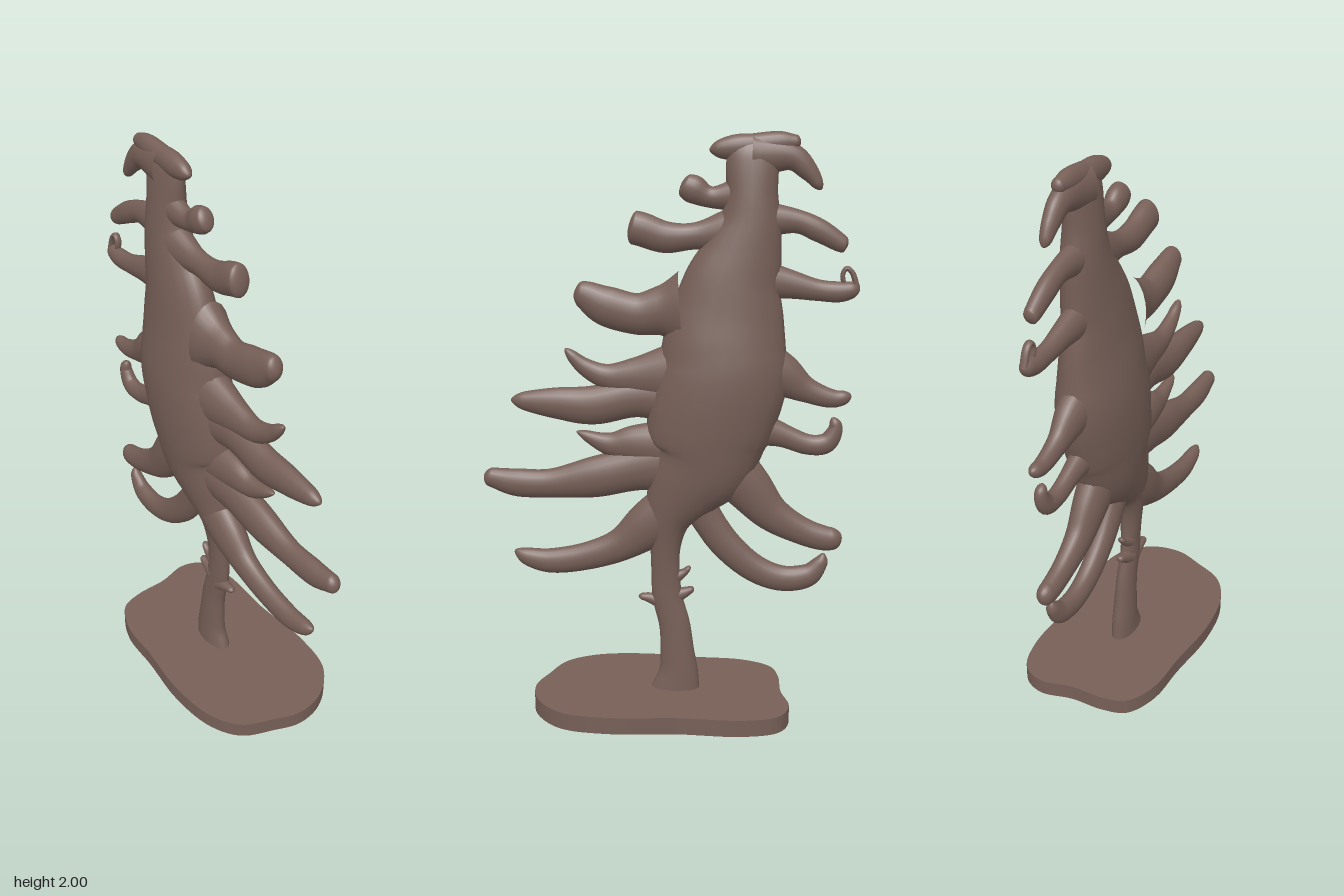
import * as THREE from 'three';

const bark = new THREE.MeshStandardMaterial({ color: 0x765f57 });
bark.name = 'brown bark';

// Sweeps an ellipse along stations [x, y, halfWidth, halfDepth] in the xy plane.
function sweep(name, stations, steps, tip, zShift = 0) {
  const sides = 20;
  const path = new THREE.CatmullRomCurve3(
    stations.map(([x, y]) => new THREE.Vector3(x, y, 0)), false, 'catmullrom', 0.5);
  const size = new THREE.CatmullRomCurve3(
    stations.map(([, , w, d = 0.55 * w + 0.008]) => new THREE.Vector3(w, d, 0)), false, 'catmullrom', 0.5);
  const pos = [], index = [];
  for (let i = 0; i <= steps; i++) {
    // stations crowd together toward the rounded tip
    const s = i / steps;
    const t = 1 - Math.pow(1 - s, 1.5);
    const p = path.getPoint(t), r = size.getPoint(t), g = path.getTangent(t);
    const k = Math.sqrt(Math.max(0, 1 - Math.pow(Math.max(0, (t - 1 + tip) / tip), 2)));
    const w = Math.max(r.x, 0.004) * k, d = Math.max(r.y, 0.004) * k;
    for (let j = 0; j < sides; j++) {
      const a = (j / sides) * Math.PI * 2;
      pos.push(p.x + g.y * w * Math.cos(a), p.y - g.x * w * Math.cos(a), d * Math.sin(a) + zShift);
      if (i < steps) {
        const n = (j + 1) % sides, q = i * sides;
        index.push(q + j, q + sides + j, q + n, q + n, q + sides + j, q + sides + n);
      }
    }
  }
  // the winding is reversed so that faces point outwards
  for (let i = 0; i < index.length; i += 3) [index[i + 1], index[i + 2]] = [index[i + 2], index[i + 1]];
  const geo = new THREE.BufferGeometry();
  geo.setAttribute('position', new THREE.Float32BufferAttribute(pos, 3));
  geo.setIndex(orient(index, pos, sides));
  geo.computeVertexNormals();
  const mesh = new THREE.Mesh(geo, bark);
  mesh.name = name;
  return mesh;
}

// Flips the triangles if the enclosed volume comes out negative.
function orient(index, pos) {
  const a = new THREE.Vector3(), b = new THREE.Vector3(), c = new THREE.Vector3();
  const o = new THREE.Vector3().fromArray(pos);
  let volume = 0;
  for (let i = 0; i < index.length; i += 3) {
    a.fromArray(pos, index[i] * 3).sub(o);
    b.fromArray(pos, index[i + 1] * 3).sub(o);
    c.fromArray(pos, index[i + 2] * 3).sub(o);
    volume += a.dot(b.cross(c));
  }
  return volume < 0 ? index.reverse() : index;
}

// Trunk and swollen crown, from the foot up
const trunk = [
  [-0.035, 0.05, 0.088, 0.042], [-0.045, 0.12, 0.07, 0.039], [-0.04, 0.2, 0.06, 0.036],
  [-0.03, 0.3, 0.055, 0.032], [-0.005, 0.4, 0.053, 0.03], [0.002, 0.5, 0.05, 0.032],
  [0.002, 0.6, 0.055, 0.042], [-0.01, 0.7, 0.085, 0.06], [-0.06, 0.8, 0.135, 0.082],
  [-0.12, 0.9, 0.18, 0.1], [-0.14, 1.0, 0.21, 0.112], [-0.165, 1.1, 0.22, 0.118],
  [-0.19, 1.2, 0.22, 0.117], [-0.195, 1.3, 0.208, 0.107], [-0.205, 1.4, 0.19, 0.093],
  [-0.22, 1.5, 0.165, 0.083], [-0.25, 1.6, 0.135, 0.073], [-0.275, 1.7, 0.105, 0.064],
  [-0.28, 1.8, 0.085, 0.055], [-0.28, 1.9, 0.085, 0.042], [-0.285, 1.985, 0.07, 0.025],
];

const leftBranches = [
  [[-0.05, 1.42, 0.13], [0.02, 1.415, 0.085], [0.1, 1.405, 0.07], [0.2, 1.43, 0.068], [0.27, 1.465, 0.05], [0.31, 1.475, 0.035]],
  [[-0.25, 1.8, 0.06], [-0.15, 1.79, 0.035], [-0.09, 1.815, 0.046], [-0.05, 1.835, 0.035]],
  [[-0.22, 1.68, 0.08], [-0.1, 1.665, 0.045], [0, 1.66, 0.052], [0.08, 1.685, 0.056], [0.125, 1.695, 0.055]],
  [[-0.05, 1.2, 0.12], [0.1, 1.19, 0.07], [0.2, 1.19, 0.045], [0.28, 1.225, 0.03], [0.345, 1.285, 0.014]],
  [[-0.05, 1.12, 0.1], [0.1, 1.12, 0.07], [0.25, 1.09, 0.068], [0.37, 1.095, 0.056], [0.46, 1.1, 0.04], [0.535, 1.105, 0.02]],
  [[-0.05, 0.95, 0.1], [0.1, 0.955, 0.07], [0.2, 0.955, 0.04], [0.31, 0.997, 0.01]],
  [[-0.08, 0.9, 0.11], [0.1, 0.87, 0.08], [0.25, 0.835, 0.073], [0.4, 0.81, 0.052], [0.52, 0.81, 0.05], [0.6, 0.825, 0.037], [0.638, 0.835, 0.03]],
  [[-0.03, 0.74, 0.09], [0.06, 0.665, 0.085], [0.16, 0.59, 0.06], [0.28, 0.545, 0.05], [0.4, 0.525, 0.045], [0.48, 0.535, 0.035], [0.538, 0.56, 0.018]],
];

const rightBranches = [
  [[-0.28, 1.92, 0.07], [-0.4, 1.92, 0.045], [-0.46, 1.875, 0.032], [-0.505, 1.815, 0.014]],
  [[-0.28, 1.72, 0.07], [-0.42, 1.715, 0.04], [-0.5, 1.685, 0.038], [-0.57, 1.645, 0.03], [-0.595, 1.635, 0.022]],
  [[-0.26, 1.53, 0.08], [-0.4, 1.51, 0.05], [-0.5, 1.49, 0.036], [-0.58, 1.485, 0.034], [-0.64, 1.5, 0.022]],
  [[-0.25, 1.25, 0.12], [-0.38, 1.205, 0.08], [-0.47, 1.155, 0.045], [-0.56, 1.125, 0.032], [-0.625, 1.135, 0.02]],
  [[-0.22, 1.04, 0.09], [-0.38, 1.0, 0.045], [-0.48, 0.965, 0.036], [-0.545, 0.97, 0.035], [-0.575, 1.02, 0.025], [-0.565, 1.06, 0.015]],
  [[-0.18, 0.92, 0.1], [-0.28, 0.81, 0.085], [-0.36, 0.72, 0.065], [-0.46, 0.66, 0.05], [-0.55, 0.63, 0.044], [-0.61, 0.635, 0.035]],
  [[-0.06, 0.84, 0.09], [-0.12, 0.73, 0.06], [-0.2, 0.61, 0.055], [-0.3, 0.52, 0.05], [-0.4, 0.48, 0.046], [-0.49, 0.49, 0.042], [-0.535, 0.535, 0.028], [-0.55, 0.575, 0.015]],
];

// Crown tips, trunk stubs and the small curl
const twigs = {
  crownTipLeft: [[-0.36, 1.96, 0.03], [-0.25, 1.95, 0.042], [-0.19, 1.945, 0.035], [-0.14, 1.94, 0.016]],
  crownTipRight: [[-0.26, 1.95, 0.04], [-0.36, 1.962, 0.038], [-0.41, 1.965, 0.026], [-0.435, 1.965, 0.018]],
  stubUpperRight: [[-0.02, 0.47, 0.03], [-0.06, 0.49, 0.015], [-0.085, 0.515, 0.008]],
  stubLowerRight: [[-0.02, 0.4, 0.035], [-0.07, 0.42, 0.018], [-0.098, 0.435, 0.01]],
  stubLeft: [[0.01, 0.38, 0.03], [0.06, 0.395, 0.018], [0.098, 0.4, 0.01]],
  curl: [[-0.63, 1.5, 0.01], [-0.615, 1.545, 0.009], [-0.595, 1.562, 0.008], [-0.582, 1.54, 0.008], [-0.59, 1.5, 0.009]],
};

// Rounded, slightly wavy plinth outline as [x, z]
const outline = [
  [-0.437, -0.14], [-0.4, -0.22], [-0.28, -0.258], [-0.05, -0.255], [0.18, -0.27], [0.35, -0.24],
  [0.445, -0.14], [0.467, -0.03], [0.435, 0.07], [0.385, 0.18], [0.28, 0.245], [0.1, 0.268],
  [-0.1, 0.25], [-0.27, 0.238], [-0.375, 0.185], [-0.404, 0.1], [-0.41, -0.02],
];

function makeBase() {
  const loop = new THREE.CatmullRomCurve3(outline.map(([x, z]) => new THREE.Vector3(x, z, 0)), true);
  const shape = new THREE.Shape(loop.getPoints(96).slice(0, -1).map((p) => new THREE.Vector2(p.x, p.y)));
  const geo = new THREE.ExtrudeGeometry(shape, { depth: 0.06, bevelEnabled: false });
  geo.rotateX(Math.PI / 2).translate(0, 0.06, 0);
  const mesh = new THREE.Mesh(geo, bark);
  mesh.name = 'base';
  return mesh;
}

export function createModel() {
  const tree = new THREE.Group();
  tree.name = 'tree';
  tree.add(makeBase(), sweep('trunk', trunk, 110, 0.04, -0.005));
  leftBranches.forEach((b, i) => tree.add(sweep(`leftBranch${i + 1}`, b, 40, 0.12)));
  rightBranches.forEach((b, i) => tree.add(sweep(`rightBranch${i + 1}`, b, 40, 0.12)));
  for (const [name, b] of Object.entries(twigs)) tree.add(sweep(name, b, 20, 0.2));
  return tree;
}
